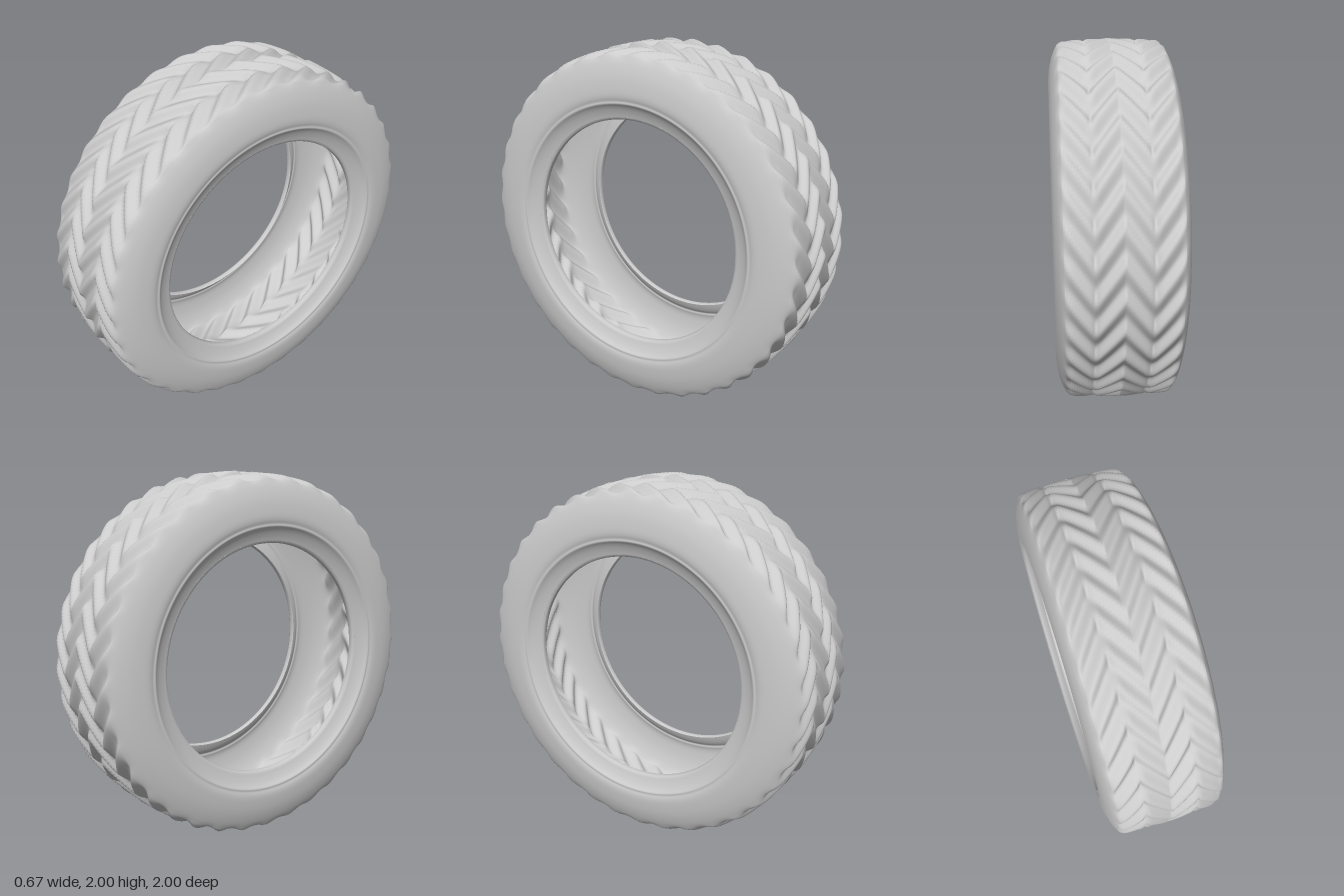
import * as THREE from 'three';

const TEETH = 36, RINGS = 360;
const TREAD_HALF = 0.28, RIB = 0.14, SLANT = 0.2;

const smooth = (a, b, t) => THREE.MathUtils.smoothstep(t, a, b);

// Half section from the crown to the bead as [x, radius]
function halfSection() {
  const points = [];
  const crown = new THREE.SplineCurve([[0, 1], [0.14, 0.994], [0.22, 0.99], [0.26, 0.984], [0.28, 0.97]]
    .map(([x, r]) => new THREE.Vector2(x, r)));
  const n = 24;
  for (let i = 0; i < n; i++) {
    // find the crown height at an even step in x
    const x = TREAD_HALF * i / n;
    let lo = 0, hi = 1;
    for (let k = 0; k < 24; k++) {
      const mid = (lo + hi) / 2;
      if (crown.getPoint(mid).x < x) lo = mid; else hi = mid;
    }
    points.push(new THREE.Vector2(x, crown.getPoint(lo).y));
  }
  const wall = new THREE.SplineCurve([
    [0.28, 0.97], [0.302, 0.925], [0.322, 0.86], [0.332, 0.79], [0.332, 0.755], [0.327, 0.735],
    [0.328, 0.722], [0.318, 0.708], [0.308, 0.69], [0.298, 0.665], [0.292, 0.645],
  ].map(([x, r]) => new THREE.Vector2(x, r)));
  return points.concat(wall.getPoints(30));
}

// Zigzag ribs: depth of the cut below the crown
function cut(x, angle) {
  const ax = Math.abs(x);
  const zig = 1 - Math.abs(1 - Math.min(ax, 2 * RIB) / RIB);
  const turn = (angle + SLANT * zig) * TEETH / (2 * Math.PI);
  const p = turn - Math.floor(turn);
  // long slope on one side of the rib, short on the other
  const wave = p < 0.38 ? smooth(0, 0.38, p) : 1 - smooth(0.38, 1, p);
  const fade = 1 - smooth(0.255, 0.3, ax);
  const groove = 0.008 * Math.max(0, 1 - Math.abs(ax - RIB) / 0.018);
  return fade * (0.03 * wave + groove);
}

function shellGeometry() {
  const half = halfSection();
  const section = half.slice(1).reverse().map(p => new THREE.Vector2(-p.x, p.y)).concat(half);
  const m = section.length, position = [], index = [];
  for (let i = 0; i < RINGS; i++) {
    const angle = 2 * Math.PI * i / RINGS;
    for (const p of section) {
      const onTread = p.y > 0.9;
      const r = p.y - (onTread ? cut(p.x, angle) : 0);
      position.push(p.x, r * Math.cos(angle), r * Math.sin(angle));
    }
    const a = i * m, b = ((i + 1) % RINGS) * m;
    for (let j = 0; j < m - 1; j++) {
      index.push(a + j, b + j, a + j + 1, a + j + 1, b + j, b + j + 1);
    }
  }
  const g = new THREE.BufferGeometry();
  g.setAttribute('position', new THREE.Float32BufferAttribute(position, 3));
  g.setIndex(index);
  g.computeVertexNormals();
  return g;
}

export function createModel() {
  const group = new THREE.Group();
  group.name = 'tyre';
  const material = new THREE.MeshStandardMaterial({ color: 0xcccccc, side: THREE.DoubleSide });

  // Thin tread and sidewalls in one shell
  const shell = new THREE.Mesh(shellGeometry(), material);
  shell.name = 'treadAndSidewalls';
  shell.position.y = 1;
  group.add(shell);

  // Bead lips around the two openings
  for (const side of [-1, 1]) {
    const lip = new THREE.LatheGeometry([
      [0.645, 0.292], [0.634, 0.288], [0.63, 0.28], [0.63, 0.262], [0.636, 0.256],
    ].map(([r, x]) => new THREE.Vector2(r, x)), 120);
    const bead = new THREE.Mesh(lip, material);
    bead.name = side > 0 ? 'leftBead' : 'rightBead';
    bead.rotation.z = -side * Math.PI / 2;
    bead.position.y = 1;
    group.add(bead);
  }
  return group;
}
